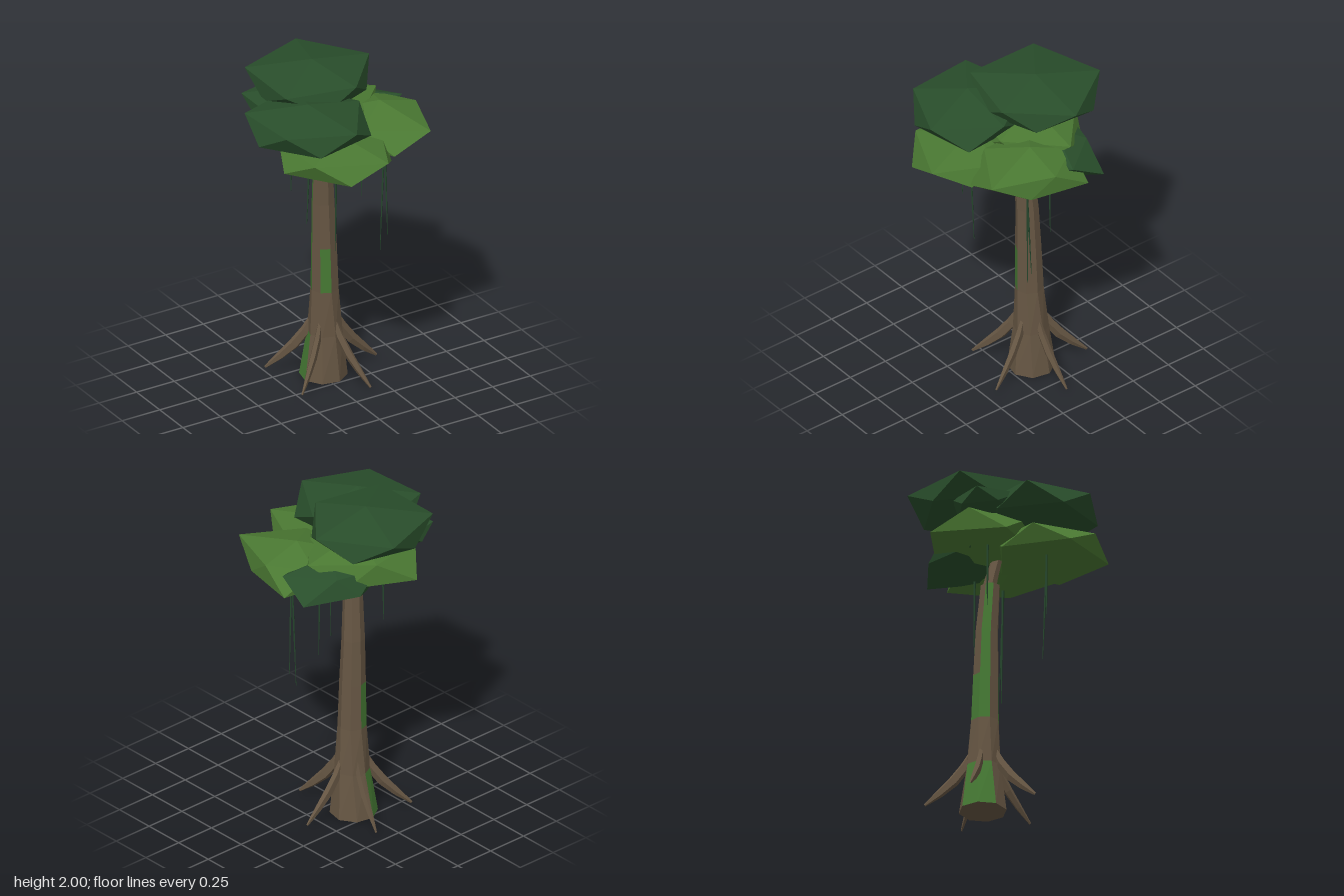
import * as THREE from 'three';
import { ConvexGeometry } from 'three/addons/geometries/ConvexGeometry.js';

const mat = (name, color) => {
  const m = new THREE.MeshStandardMaterial({ color, flatShading: true });
  m.name = name;
  return m;
};
const V = (x, y, z) => new THREE.Vector3(x, y, z);
const rad = THREE.MathUtils.degToRad;

// Faceted leaf mass: a squashed, uneven icosahedron standing on a vertex;
// upper and lower give the five corner radii of its two rings
function blob(h, phase, upper, lower) {
  const pts = [V(0, h, 0), V(0, -h, 0)];
  for (let i = 0; i < 5; i++) {
    const a = rad(phase + i * 72), b = a + rad(36);
    pts.push(V(upper[i] * Math.cos(a), h * 0.447, upper[i] * Math.sin(a)));
    pts.push(V(lower[i] * Math.cos(b), -h * 0.447, lower[i] * Math.sin(b)));
  }
  return new ConvexGeometry(pts);
}

// Tube whose thickness runs through the given radii
function taperedTube(points, radii, sides, segs) {
  const path = new THREE.CatmullRomCurve3(points);
  const geo = new THREE.TubeGeometry(path, segs, 1, sides);
  const pos = geo.attributes.position, v = V(0, 0, 0);
  for (let i = 0; i <= segs; i++) {
    const t = (i / segs) * (radii.length - 1);
    const k = Math.min(Math.floor(t), radii.length - 2);
    const r = THREE.MathUtils.lerp(radii[k], radii[k + 1], t - k);
    const c = path.getPointAt(i / segs);
    for (let j = 0; j <= sides; j++) {
      const n = i * (sides + 1) + j;
      v.fromBufferAttribute(pos, n).sub(c).multiplyScalar(r).add(c);
      pos.setXYZ(n, v.x, v.y, v.z);
    }
  }
  const flat = geo.toNonIndexed();
  flat.computeVertexNormals();
  return flat;
}

function fromTriangles(tris) {
  const geo = new THREE.BufferGeometry().setFromPoints(tris);
  geo.computeVertexNormals();
  return geo;
}

export function createModel() {
  const tree = new THREE.Group();
  tree.name = 'tree';
  const bark = mat('bark brown', 0x665643);
  const moss = mat('moss green', 0x467a34);
  const darkLeaf = mat('dark leaf green', 0x294e2b);
  const lightLeaf = mat('light leaf green', 0x4a7832);
  const vineGreen = mat('vine green', 0x24442b);
  const add = (parent, name, geo, material) => {
    const m = new THREE.Mesh(geo, material);
    m.name = name;
    parent.add(m);
    return m;
  };

  // Trunk: eight-sided rings as [y, x, z, radius, twist], some facets mossy
  const rings = [
    [0, 0.02, -0.142, 0.138, 14], [0.28, 0.026, -0.135, 0.102, 8], [0.56, 0.02, -0.128, 0.083, 0],
    [0.84, 0.014, -0.125, 0.076, 0], [1.12, 0.006, -0.122, 0.067, 0], [1.4, -0.006, -0.106, 0.057, 0],
  ];
  const mossy = [[4, 5], [], [4, 5, 7], [5], [5]];
  const corner = (i, k) => {
    const [y, x, z, r, twist] = rings[i], a = rad(k * 45 - 3 + twist);
    return V(x + r * Math.sin(a), y, z + r * Math.cos(a));
  };
  const barkTris = [], mossTris = [];
  for (let k = 0; k < 8; k++) {
    for (let i = 0; i < 5; i++) {
      const a = corner(i, k), b = corner(i, k + 1), c = corner(i + 1, k + 1), d = corner(i + 1, k);
      (mossy[i].includes(k) ? mossTris : barkTris).push(a, b, c, a, c, d);
    }
    barkTris.push(V(0.02, 0, -0.142), corner(0, k + 1), corner(0, k));
    barkTris.push(V(-0.006, 1.4, -0.106), corner(5, k), corner(5, k + 1));
  }
  add(tree, 'trunk', fromTriangles(barkTris), bark);
  add(tree, 'trunkMoss', fromTriangles(mossTris), moss);
  add(tree, 'upperTrunk', taperedTube(
    [V(-0.006, 1.36, -0.12), V(0, 1.5, -0.085), V(0.005, 1.65, -0.04)], [0.042, 0.034, 0.028], 6, 3), bark);

  // Five narrow roots spread evenly round the base
  const rootGeo = taperedTube(
    [V(0.06, 0.38, 0), V(0.125, 0.25, 0), V(0.21, 0.15, 0), V(0.34, 0.03, 0)],
    [0.02, 0.036, 0.03, 0.008], 5, 4);
  rootGeo.scale(1, 1, 0.6);
  rootGeo.computeVertexNormals();
  for (let i = 0; i < 5; i++) {
    const root = add(tree, 'root', rootGeo, bark);
    root.position.set(0.024, 0, -0.13);
    root.rotation.y = -rad(i * 72);
  }

  // Canopy: [name, x, y, z, half height, phase, upper radii, lower radii, material]
  const canopy = new THREE.Group();
  canopy.name = 'canopy';
  tree.add(canopy);
  for (const [name, x, y, z, h, phase, upper, lower, m] of [
    ['topFoliage', -0.02, 1.873, -0.2, 0.127, 0,
      [0.38, 0.33, 0.385, 0.382, 0.389], [0.31, 0.335, 0.32, 0.32, 0.345], darkLeaf],
    ['rightFoliage', -0.24, 1.785, 0.115, 0.127, 0,
      [0.34, 0.364, 0.32, 0.36, 0.35], [0.36, 0.316, 0.325, 0.33, 0.32], darkLeaf],
    ['frontFoliage', -0.1, 1.615, 0.2, 0.113, 0,
      [0.29, 0.384, 0.325, 0.33, 0.33], [0.31, 0.352, 0.35, 0.33, 0.3], lightLeaf],
    ['leftFoliage', 0.27, 1.65, 0.06, 0.125, 0,
      [0.24, 0.38, 0.27, 0.27, 0.25], [0.26, 0.357, 0.27, 0.27, 0.345], lightLeaf],
    ['backFoliage', 0, 1.68, -0.15, 0.14, 0,
      [0.375, 0.3, 0.33, 0.33, 0.27], [0.3, 0.3, 0.35, 0.39, 0.31], lightLeaf],
    ['lowerBackFoliage', 0.2, 1.635, -0.17, 0.122, 18,
      [0.315, 0.15, 0.28, 0.25, 0.18], [0.22, 0.22, 0.33, 0.23, 0.34], darkLeaf],
    ['smallBackFoliage', -0.22, 1.785, -0.22, 0.075, 0,
      [0.21, 0.21, 0.22, 0.22, 0.19], [0.19, 0.19, 0.18, 0.18, 0.18], darkLeaf],
  ]) add(canopy, name, blob(h, phase, upper, lower), m).position.set(x, y, z);

  // Hanging vines: top x, z, then tip x, y, z
  for (const [x, z, tx, ty, tz] of [
    [-0.245, 0.14, -0.26, 1.16, 0.135], [-0.16, -0.185, -0.165, 1.2, -0.19],
    [-0.105, 0.2, -0.095, 0.96, 0.178], [0.24, -0.1, 0.25, 1.09, -0.1],
    [0.28, 0.095, 0.31, 0.91, 0.08], [0.285, 0.09, 0.265, 0.82, 0.073],
  ]) {
    add(tree, 'vine', taperedTube(
      [V(x, 1.6, z), V((x + tx) / 2, (1.6 + ty) / 2, (z + tz) / 2), V(tx, ty, tz)],
      [0.007, 0.006, 0.002], 4, 4), vineGreen);
  }
  return tree;
}
